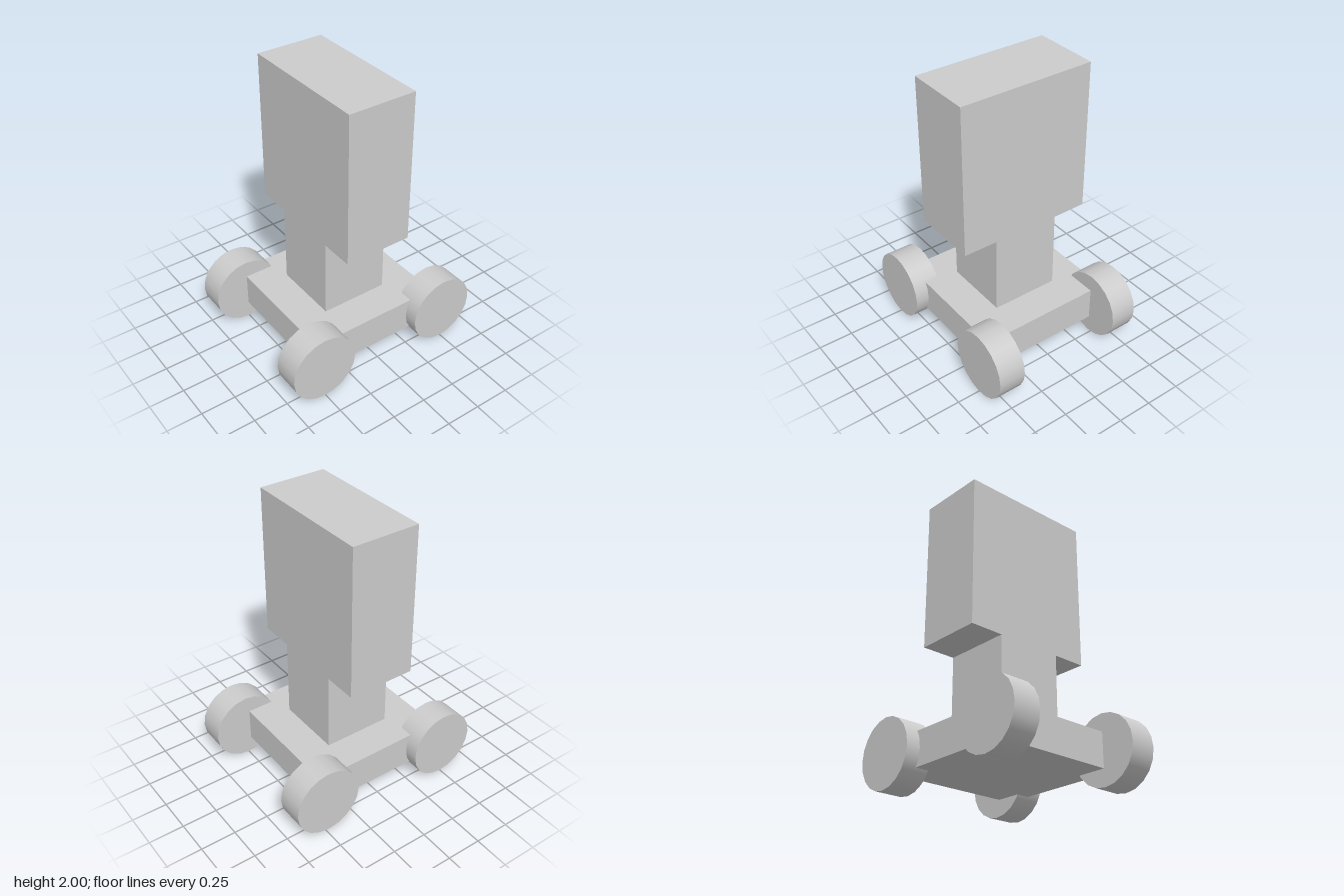
import * as THREE from 'three';

export function createModel() {
  const model = new THREE.Group();
  const material = new THREE.MeshStandardMaterial({ color: 0xcccccc });

  const add = (name, geometry, x, y, z) => {
    const mesh = new THREE.Mesh(geometry, material);
    mesh.name = name;
    mesh.position.set(x, y, z);
    model.add(mesh);
  };
  // Box standing between two heights
  const block = (name, width, depth, bottom, top, x) =>
    add(name, new THREE.BoxGeometry(width, top - bottom, depth), x, (bottom + top) / 2, -0.002);

  // Flat chassis, narrow neck and tall head
  block('chassis', 0.974, 0.974, 0.125, 0.365, -0.012);
  block('neck', 0.485, 0.485, 0.365, 0.93, -0.012);
  block('head', 0.485, 0.974, 0.93, 2, -0.012);

  // Wheels on the chassis corners, axles along z; the front left one sits a little further out
  const wheel = new THREE.CylinderGeometry(0.243, 0.243, 0.195, 20).rotateX(Math.PI / 2);
  const wheels = [
    ['frontLeftWheel', 0.498, 0.486],
    ['frontRightWheel', -0.5, 0.486],
    ['backLeftWheel', 0.475, -0.49],
    ['backRightWheel', -0.5, -0.49],
  ];
  for (const [name, x, z] of wheels) add(name, wheel, x, 0.246, z);

  return model;
}
